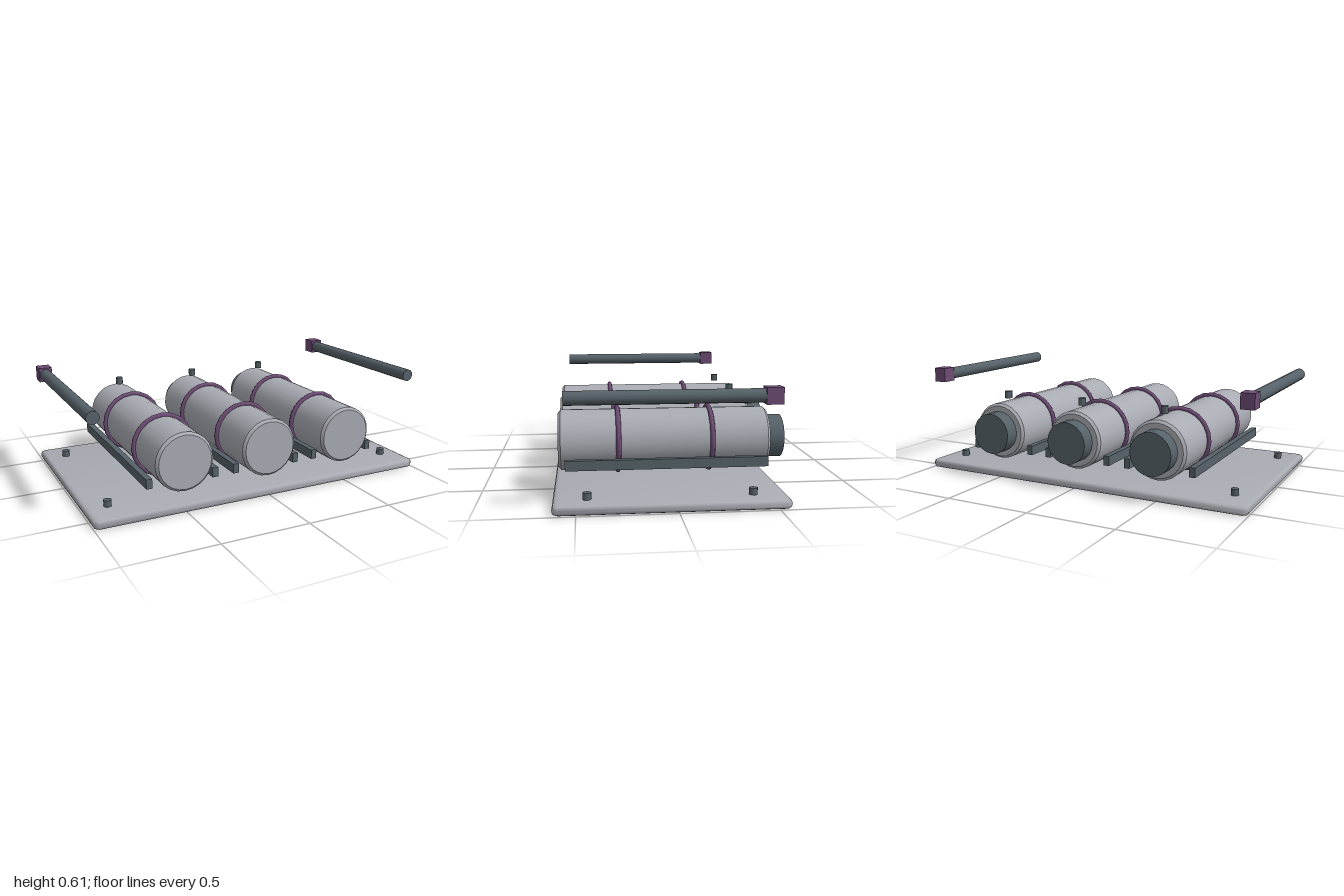
import * as THREE from 'three';
import { toCreasedNormals } from 'three/addons/utils/BufferGeometryUtils.js';

const material = (name, color) => {
  const m = new THREE.MeshStandardMaterial({ color });
  m.name = name;
  return m;
};

export function createModel() {
  const lightMetal = material('lightMetal', 0xa9abb3);
  const darkMetal = material('darkMetal', 0x566269);
  const purple = material('purple', 0x6d4c74);
  const model = new THREE.Group();
  model.name = 'tankRack';

  const add = (parent, name, geometry, mat, x, y, z) => {
    const mesh = new THREE.Mesh(geometry, mat);
    mesh.name = name;
    mesh.position.set(x, y, z);
    parent.add(mesh);
    return mesh;
  };

  // Base plate with bevelled rim and clipped corners
  const bevel = 0.02, hx = 1 - bevel, hz = 0.59 - bevel, cut = 0.01;
  const outline = new THREE.Shape([
    [-hx + cut, -hz], [hx - cut, -hz], [hx, -hz + cut], [hx, hz - cut],
    [hx - cut, hz], [-hx + cut, hz], [-hx, hz - cut], [-hx, -hz + cut],
  ].map(([x, y]) => new THREE.Vector2(x, y)));
  const plate = new THREE.ExtrudeGeometry(outline, {
    depth: 0.01, bevelThickness: bevel, bevelSize: bevel, bevelSegments: 2,
  }).rotateX(-Math.PI / 2);
  add(model, 'basePlate', toCreasedNormals(plate, 0.9), lightMetal, 0, bevel, 0.025);

  // Bolts near the plate corners
  const bolt = new THREE.CylinderGeometry(0.022, 0.022, 0.035, 8);
  for (const x of [-0.88, 0.88])
    for (const z of [-0.39, 0.445]) add(model, 'bolt', bolt, darkMetal, x, 0.0675, z);

  // Shared tank parts, tank axis along z
  const r = 0.1625, c = 0.014, back = -0.535, front = 0.59;
  const body = toCreasedNormals(new THREE.LatheGeometry([
    [0, back], [r - c, back], [r, back + c], [r, front - c], [r - c, front], [0, front],
  ].map(([x, y]) => new THREE.Vector2(x, y)), 24).rotateX(Math.PI / 2), 0.5);
  const neck = new THREE.CylinderGeometry(0.117, 0.117, 0.1, 20).rotateX(Math.PI / 2);
  const strap = new THREE.TorusGeometry(0.17, 0.0135, 8, 20);
  const rail = new THREE.BoxGeometry(0.033, 0.053, 1.065);
  const valve = new THREE.CylinderGeometry(0.022, 0.022, 0.041, 8);

  // Three tanks, each with neck, straps, valve and side rails
  for (const x of [-0.5, 0, 0.5]) {
    const tank = new THREE.Group();
    tank.name = 'tank';
    tank.position.set(x, 0.2725, 0);
    model.add(tank);
    add(tank, 'tankBody', body, lightMetal, 0, 0, 0);
    add(tank, 'tankNeck', neck, darkMetal, 0, 0, -0.57);
    add(tank, 'valve', valve, darkMetal, 0, 0.2025, -0.44);
    for (const z of [-0.22, 0.275]) add(tank, 'strap', strap, purple, 0, 0, z);
    for (const side of [-1, 1]) add(tank, 'rail', rail, darkMetal, side * 0.188, -0.0985, 0.022);
  }

  // Raised poles on both sides with block ends
  const pole = new THREE.CylinderGeometry(0.035, 0.035, 0.98, 12).rotateX(Math.PI / 2);
  const block = new THREE.BoxGeometry(0.075, 0.083, 0.085);
  for (const x of [-0.962, 0.962]) {
    add(model, 'pole', pole, darkMetal, x, 0.565, 0.06);
    add(model, 'poleBlock', block, purple, x, 0.566, -0.458);
  }
  return model;
}
